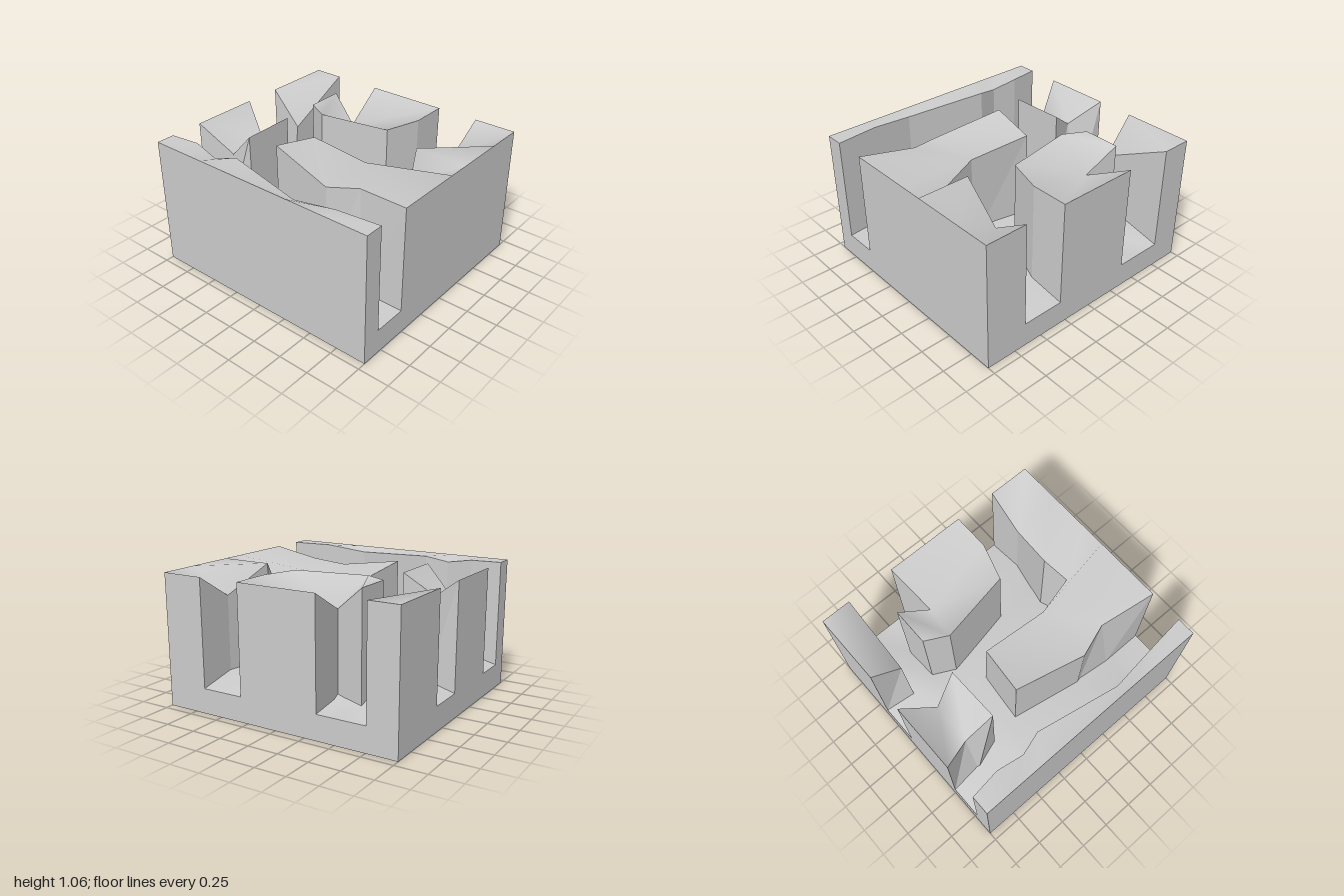
import * as THREE from 'three';

const TOP = 1.06, SLAB = 0.2;
const material = new THREE.MeshStandardMaterial({ color: 0xcccccc, side: THREE.DoubleSide });

function addMesh(group, name, geometry) {
  const mesh = new THREE.Mesh(geometry, material);
  mesh.name = name;
  group.add(mesh);
}

function geometryFrom(positions, index) {
  const g = new THREE.BufferGeometry();
  g.setAttribute('position', new THREE.Float32BufferAttribute(positions, 3));
  if (index) g.setIndex(index);
  g.computeVertexNormals();
  return g;
}

// A plateau between two facing edges, joined rung by rung.
// Each point is [x, z, top height, foot x, foot z]; the last three are optional.
function plateau(name, a, b) {
  const group = new THREE.Group();
  group.name = name;
  const ring = [...a, ...[...b].reverse()].filter(
    (p, i, all) => i === 0 || p[0] !== all[i - 1][0] || p[1] !== all[i - 1][1]);
  const height = p => p[2] ?? TOP;

  // smooth undulating top
  const idOf = p => ring.findIndex(q => q[0] === p[0] && q[1] === p[1]);
  const index = [];
  const tri = (p, q, r) => {
    const up = (q[1] - p[1]) * (r[0] - p[0]) - (q[0] - p[0]) * (r[1] - p[1]);
    if (Math.abs(up) < 1e-6) return;
    index.push(...(up > 0 ? [p, q, r] : [p, r, q]).map(idOf));
  };
  for (let i = 0; i + 1 < a.length; i++) {
    tri(a[i], a[i + 1], b[i + 1]);
    tri(a[i], b[i + 1], b[i]);
  }
  addMesh(group, name + 'Top', geometryFrom(ring.flatMap(p => [p[0], height(p), p[1]]), index));

  // sheer flat walls
  const area = ring.reduce((s, p, i) => {
    const q = ring[(i + 1) % ring.length];
    return s + p[0] * q[1] - q[0] * p[1];
  }, 0);
  const loop = area > 0 ? [...ring].reverse() : ring;
  const head = p => [p[0], height(p), p[1]];
  const foot = p => [p[3] ?? p[0], SLAB, p[4] ?? p[1]];
  const walls = loop.flatMap((p, i) => {
    const q = loop[(i + 1) % loop.length];
    return [foot(p), foot(q), head(q), foot(p), head(q), head(p)].flat();
  });
  addMesh(group, name + 'Walls', geometryFrom(walls));
  return group;
}

// Gently rising canyon floor over a coarse grid
function canyonFloor() {
  const xs = [-0.935, -0.515, 0.045, 0.335, 0.63, 0.935];
  const zs = [-1, -0.755, -0.54, -0.355, 0.31, 0.655, 1];
  const rows = [
    [0.2, 0.2, 0.2, 0.2, 0.2, 0.2],
    [0.27, 0.27, 0.27, 0.28, 0.27, 0.2],
    [0.3, 0.3, 0.3, 0.28, 0.2, 0.2],
    [0.33, 0.33, 0.3, 0.28, 0.2, 0.2],
    [0.33, 0.33, 0.33, 0.33, 0.25, 0.2],
    [0.2, 0.2, 0.26, 0.27, 0.265, 0.2],
    [0.2, 0.2, 0.2, 0.2, 0.2, 0.2],
  ];
  const g = new THREE.PlaneGeometry(1, 1, xs.length - 1, zs.length - 1);
  const pos = g.attributes.position;
  for (let i = 0; i < pos.count; i++) {
    const c = i % xs.length, r = Math.floor(i / xs.length);
    pos.setXYZ(i, xs[c], rows[r][c] + 0.001, zs[r]);
  }
  g.computeVertexNormals();
  return g;
}

export function createModel() {
  const model = new THREE.Group();
  model.name = 'canyonBlock';

  const slab = new THREE.BoxGeometry(1.87, SLAB, 2);
  slab.translate(0, SLAB / 2, 0);
  addMesh(model, 'baseSlab', slab);
  addMesh(model, 'canyonFloor', canyonFloor());

  // long thin ridge along the side
  const inner = [
    [-0.785, -1], [-0.755, -0.755], [-0.785, -0.54, 1.02], [-0.735, -0.36],
    [-0.855, 0.31, 1.02], [-0.82, 0.655], [-0.785, 1],
  ];
  model.add(plateau('sideRidge', inner.map(p => [-0.935, p[1]]), inner));

  // large front plateau with a tongue reaching back
  const bend = [-0.055, 0.31, 0.967];
  model.add(plateau('frontPlateau',
    [[0.935, 1], [0.625, 1], [0.225, 1], [0.045, 1], [-0.515, 1],
      [-0.435, 0.555, 1.005, -0.515, 0.65], [-0.515, 0.31, 0.963], [-0.405, -0.27]],
    [[0.935, 0.655], [0.625, 0.655, 0.865], [0.225, 0.57], [0.045, 0.65, 0.9], bend,
      bend, bend, [-0.02, -0.225, 0.994, 0.015, -0.225]]));

  // middle plateau with a notch cut into its back
  const notch = [0.56, -0.3, 0.867];
  model.add(plateau('middlePlateau',
    [[0.935, 0.31], [0.63, 0.31], [0.335, 0.22], [0.23, -0.36], [0.325, -0.54]],
    [[0.935, -0.355], notch, notch, notch, [0.63, -0.54]]));

  // waisted tower at the back
  model.add(plateau('backTower',
    [[-0.515, -1], [-0.4, -0.755, 0.82, -0.515, -0.755], [-0.44, -0.52]],
    [[0.045, -1], [-0.085, -0.755, 0.89, 0.045, -0.755], [0, -0.53]]));

  // sloping corner plateau at the back
  model.add(plateau('cornerPlateau',
    [[0.355, -1], [0.935, -1]],
    [[0.365, -0.755, 0.775, 0.29, -0.755], [0.935, -0.755]]));

  return model;
}
